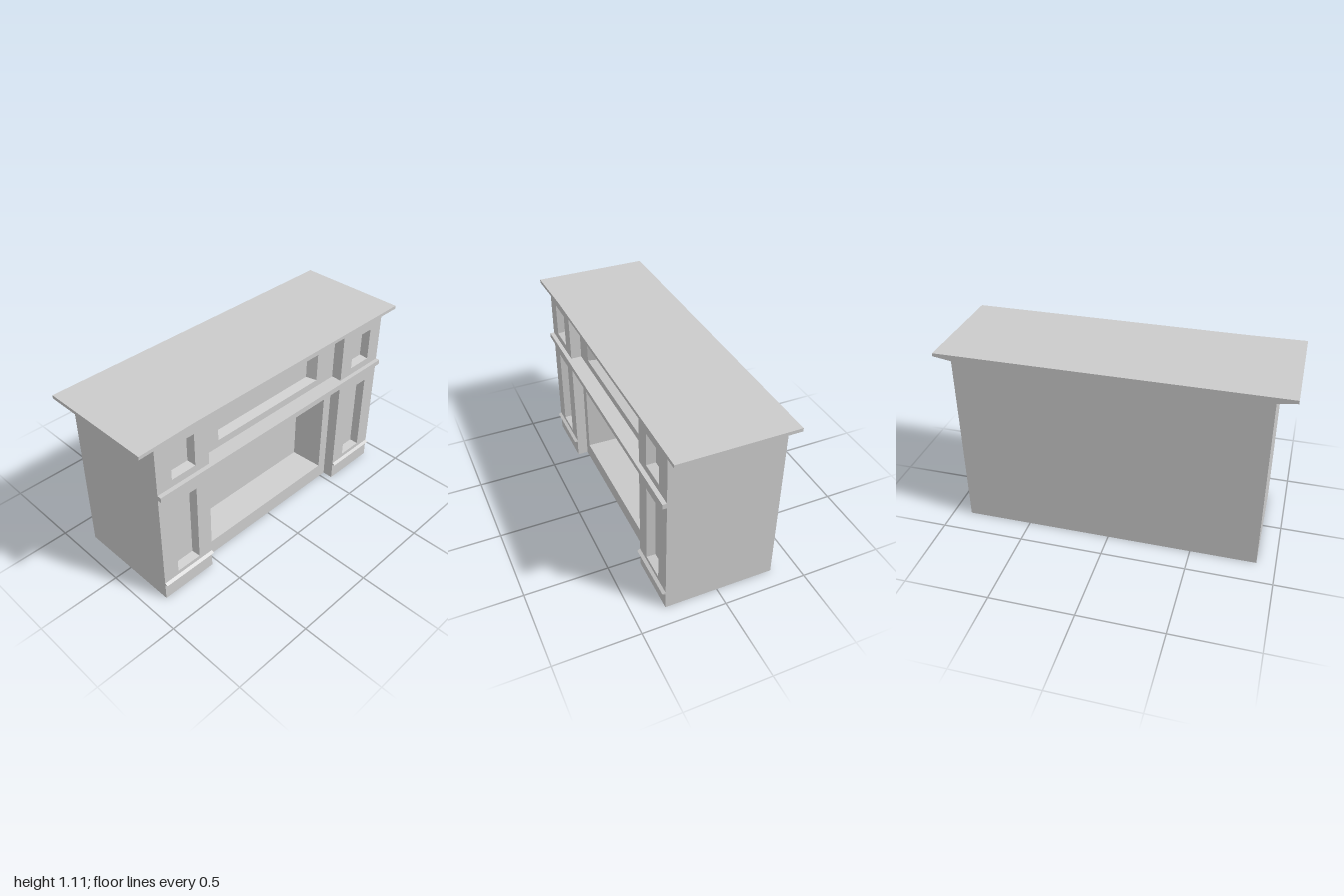
import * as THREE from 'three';

const material = new THREE.MeshStandardMaterial({ color: 0xcccccc, flatShading: true });
const BACK = -0.345, CORE = 0.06, PILLAR = 0.315, CENTRE = 0.25;

function rectPoints([x0, x1, y0, y1]) {
  return [[x0, y0], [x1, y0], [x1, y1], [x0, y1]].map(([x, y]) => new THREE.Vector2(x, y));
}

export function createModel() {
  const model = new THREE.Group();
  model.name = 'fireplace';

  function add(name, geometry) {
    const mesh = new THREE.Mesh(geometry, material);
    mesh.name = name;
    model.add(mesh);
    return mesh;
  }

  function box(name, x0, x1, y0, y1, z0, z1) {
    add(name, new THREE.BoxGeometry(x1 - x0, y1 - y0, z1 - z0))
      .position.set((x0 + x1) / 2, (y0 + y1) / 2, (z0 + z1) / 2);
  }

  function extrude(name, points, z0, z1, holes = []) {
    const shape = new THREE.Shape(points);
    holes.forEach((h) => shape.holes.push(new THREE.Path(rectPoints(h).reverse())));
    const geometry = new THREE.ExtrudeGeometry(shape, { depth: z1 - z0, bevelEnabled: false });
    return add(name, geometry.translate(0, 0, z0));
  }

  // Tapered tray: four sloping sides and a back, all facing inwards
  function recess(name, [x0, x1, y0, y1], z, depth, tx, ty) {
    const front = rectPoints([x0, x1, y0, y1]);
    const rear = rectPoints([x0 + tx, x1 - tx, y0 + ty, y1 - ty]);
    const positions = [];
    const quad = (...c) => [0, 1, 2, 0, 2, 3].forEach((i) => positions.push(...c[i]));
    const f = front.map((p) => [p.x, p.y, z]);
    const r = rear.map((p) => [p.x, p.y, z - depth]);
    for (let i = 0; i < 4; i++) {
      const j = (i + 1) % 4;
      quad(f[i], f[j], r[j], r[i]);
    }
    quad(...r);
    const geometry = new THREE.BufferGeometry();
    geometry.setAttribute('position', new THREE.Float32BufferAttribute(positions, 3));
    geometry.computeVertexNormals();
    add(name, geometry);
  }

  // Solid rear body
  box('body', -0.89, 0.89, 0, 1.085, BACK, CORE);

  // Set-back centre with the firebox and the long upper panel
  const firebox = [-0.487, 0.478, 0.098, 0.664];
  const upperPanel = [-0.41, 0.39, 0.815, 0.99];
  extrude('centreFront', rectPoints([-0.54, 0.54, 0, 1.085]), CORE, CENTRE, [firebox, upperPanel]);
  recess('firebox', firebox, CENTRE, 0.188, 0.03, 0.022);
  recess('upperPanel', upperPanel, CENTRE, 0.055, 0.031, 0.012);
  box('lintel', -0.54, 0.54, 0.705, 0.765, CENTRE - 0.01, PILLAR);
  box('header', -0.54, 0.54, 1.07, 1.085, CENTRE - 0.01, PILLAR);

  // Pillars, each with two sunk panels, a base ridge and a mantel bracket
  for (const [side, s] of [['left', 1], ['right', -1]]) {
    const span = (a, b) => (s > 0 ? [a, b] : [-b, -a]);
    const panels = [[...span(0.634, 0.792), 0.145, 0.656], [...span(0.634, 0.792), 0.815, 1.018]];
    extrude(side + 'Pillar', rectPoints([...span(0.54, 0.89), 0, 1.085]), CORE, PILLAR, panels);
    panels.forEach((p, i) => recess(side + (i ? 'UpperPanel' : 'LowerPanel'), p, PILLAR, 0.05, 0.009, 0.009));

    // Triangular ridge, profile drawn in z and y then turned along x
    const ridge = new THREE.ExtrudeGeometry(new THREE.Shape([
      new THREE.Vector2(-0.3, 0.103), new THREE.Vector2(-PILLAR, 0.105),
      new THREE.Vector2(-0.333, 0.111), new THREE.Vector2(-PILLAR, 0.12), new THREE.Vector2(-0.3, 0.12),
    ]), { depth: 0.35, bevelEnabled: false });
    ridge.rotateY(Math.PI / 2).translate(span(0.54, 0.89)[0], 0, 0);
    add(side + 'BaseRidge', ridge);

    extrude(side + 'MantelBracket', [
      new THREE.Vector2(s * 0.885, 1.069), new THREE.Vector2(s * 0.998, 1.086),
      new THREE.Vector2(s * 0.885, 1.09),
    ], BACK, 0.245);
  }

  // Moulding across the whole front
  box('moulding', -0.89, 0.89, 0.74, 0.77, CENTRE - 0.01, 0.34);

  // Mantel slab, slightly deeper at one end
  const slab = extrude('mantel', [
    new THREE.Vector2(-1, BACK), new THREE.Vector2(1, BACK), new THREE.Vector2(1, 0.334),
    new THREE.Vector2(-0.65, 0.335), new THREE.Vector2(-1, 0.345),
  ], 0, 0.02);
  slab.geometry.rotateX(Math.PI / 2).translate(0, 1.105, 0);

  return model;
}
